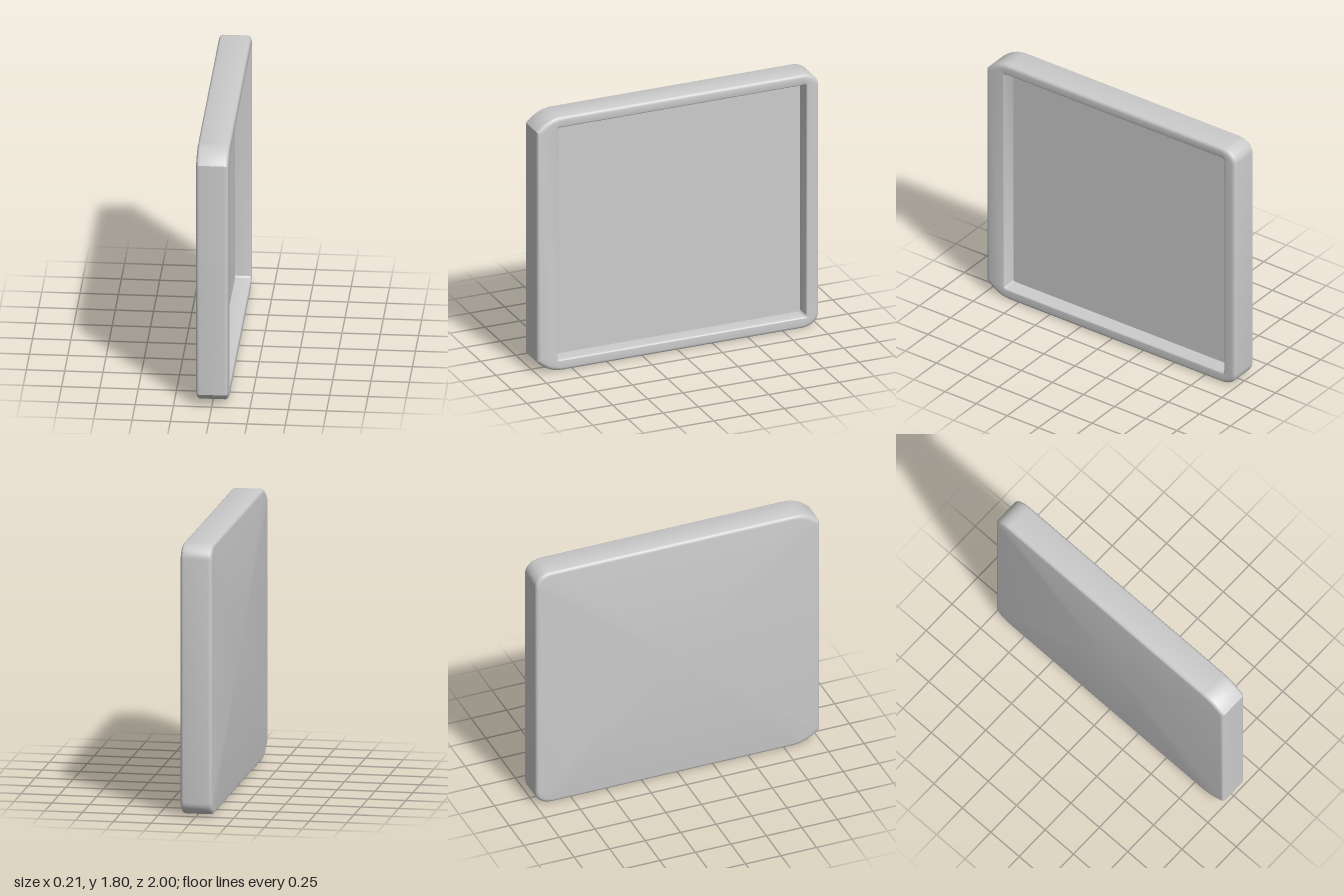
import * as THREE from 'three';
import { toCreasedNormals } from 'three/addons/utils/BufferGeometryUtils.js';

const SEG = 8, HALF_X = 0.105, FILLET = 0.024, FLOOR_X = 0.0;

// Outline in (z, y) with four corners; each corner is [start, control, end].
function outline(corners, round) {
  const pts = [];
  corners.forEach(([a, c, b], k) => {
    for (let i = 0; i <= SEG; i++) {
      const t = i / SEG;
      if (round[k]) { // quarter ellipse
        const s = Math.sin(t * Math.PI / 2), q = Math.cos(t * Math.PI / 2);
        pts.push([c[0] + (a[0] - c[0]) * (1 - s) + (b[0] - c[0]) * (1 - q),
          c[1] + (a[1] - c[1]) * (1 - s) + (b[1] - c[1]) * (1 - q)]);
      } else { // soft curve that meets the front face at a crease
        const u = 1 - t;
        pts.push([0, 1].map(n => u * u * a[n] + 2 * u * t * c[n] + t * t * b[n]));
      }
    }
  });
  return pts;
}

const outer = outline([
  [[0.82, 1.8], [0.92, 1.8], [1, 1.715]],
  [[1, 0.085], [0.92, 0], [0.82, 0]],
  [[-0.89, 0], [-1, 0], [-1, 0.09]],
  [[-1, 1.71], [-1, 1.8], [-0.89, 1.8]],
], [false, false, true, true]);

const [z0, z1, y0, y1, r] = [-0.91, 0.855, 0.08, 1.725, 0.015];
const recess = outline([
  [[z1 - r, y1], [z1, y1], [z1, y1 - r]],
  [[z1, y0 + r], [z1, y0], [z1 - r, y0]],
  [[z0 + r, y0], [z0, y0], [z0, y0 + r]],
  [[z0, y1 - r], [z0, y1], [z0 + r, y1]],
], [true, true, true, true]);

// One cross-section at depth x, drawn in (or out) by d on every side.
const ring = (pts, x, d, cz, cy, hz, hy) => pts.map(([z, y]) =>
  new THREE.Vector3(x, cy + (y - cy) * (1 - d / hy), cz + (z - cz) * (1 - d / hz)));
const outerRing = (x, d) => ring(outer, x, d, 0, 0.9, 1, 0.9);
const recessRing = (x, d) =>
  ring(recess, x, d, (z0 + z1) / 2, (y0 + y1) / 2, (z1 - z0) / 2, (y1 - y0) / 2);
const centre = x => outer.map(() => new THREE.Vector3(x, 0.9, 0));

// Skins neighbouring cross-sections, leaving out empty triangles.
function loft(rings) {
  const pos = [];
  const tri = (a, b, c) => {
    if (a.distanceTo(b) < 1e-6 || b.distanceTo(c) < 1e-6 || a.distanceTo(c) < 1e-6) return;
    for (const p of [a, b, c]) pos.push(p.x, p.y, p.z);
  };
  for (let i = 0; i < rings.length - 1; i++) {
    const lo = rings[i], hi = rings[i + 1], n = lo.length;
    for (let j = 0; j < n; j++) {
      const k = (j + 1) % n;
      tri(lo[j], lo[k], hi[k]);
      tri(lo[j], hi[k], hi[j]);
    }
  }
  const geo = new THREE.BufferGeometry();
  geo.setAttribute('position', new THREE.Float32BufferAttribute(pos, 3));
  return toCreasedNormals(geo, 0.5);
}

export function createModel() {
  const group = new THREE.Group();
  group.name = 'tray';
  const steps = [0, 1, 2, 3, 4, 5].map(i => i / 5 * Math.PI / 2);
  const inner = 0.012;
  const rings = [
    centre(-HALF_X),
    // back edge fillet, side wall, front edge fillet
    ...steps.map(a => outerRing(-HALF_X + FILLET * (1 - Math.cos(a)), FILLET * (1 - Math.sin(a)))),
    ...steps.map(a => outerRing(HALF_X - FILLET * (1 - Math.sin(a)), FILLET * (1 - Math.cos(a)))),
    // rounded inner lip, recess wall and floor
    ...steps.map(a => recessRing(HALF_X - inner * (1 - Math.cos(a)), -inner * (1 - Math.sin(a)))),
    recessRing(FLOOR_X, 0),
    centre(FLOOR_X),
  ];
  const body = new THREE.Mesh(loft(rings), new THREE.MeshStandardMaterial({ color: 0xcccccc }));
  body.name = 'trayBody';
  group.add(body);
  return group;
}
